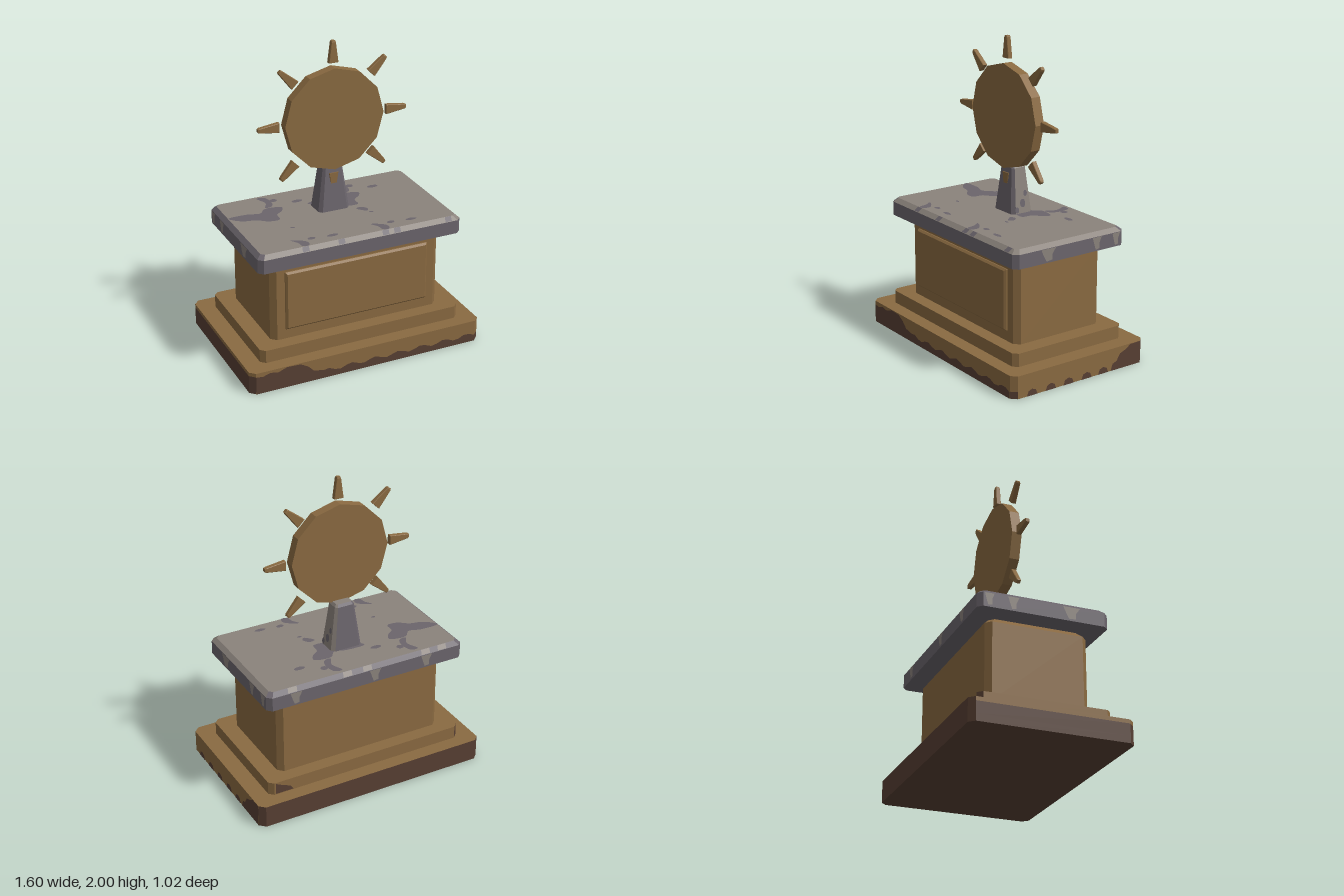
import * as THREE from 'three';

const mat = (name, color) => {
  const m = new THREE.MeshStandardMaterial({ color });
  m.name = name;
  return m;
};
const bronze = mat('bronze', 0x8a6a41);
const grime = mat('grime', 0x573f33);
const paleStone = mat('paleStone', 0x8b837c);
const darkStone = mat('darkStone', 0x6b656c);
const palette = [bronze, grime, paleStone, darkStone];

// Stack of chamfered rectangles: rings are [y, halfX, halfZ, chamfer].
// Sides: 0 +x, 2 back, 4 -x, 6 front, odd = chamfers. pick(level, side) chooses a material;
// level 'top' / 'bottom' for the caps.
function loft(name, rings, pick) {
  const outline = ([y, x, z, c]) => [
    [x, y, z - c], [x, y, c - z], [x - c, y, -z], [c - x, y, -z],
    [-x, y, c - z], [-x, y, z - c], [c - x, y, z], [x - c, y, z]];
  const loops = rings.map(outline);
  const pos = [];
  const geo = new THREE.BufferGeometry();
  const add = (m, ...pts) => {
    geo.addGroup(pos.length / 3, pts.length, palette.indexOf(m));
    pts.forEach((p) => pos.push(...p));
  };
  for (let l = 0; l < loops.length - 1; l++) {
    for (let i = 0; i < 8; i++) {
      const j = (i + 1) % 8, lo = loops[l], hi = loops[l + 1];
      add(pick(l, i), lo[i], lo[j], hi[j], lo[i], hi[j], hi[i]);
    }
  }
  const bot = loops[0], top = loops[loops.length - 1];
  for (let i = 1; i < 7; i++) {
    add(pick('top'), top[0], top[i], top[i + 1]);
    add(pick('bottom'), bot[0], bot[i + 1], bot[i]);
  }
  geo.setAttribute('position', new THREE.Float32BufferAttribute(pos, 3));
  geo.computeVertexNormals();
  const mesh = new THREE.Mesh(geo, palette);
  mesh.name = name;
  return mesh;
}

// Thin painted patch; smooth outlines are rounded with a closed spline.
function patch(name, m, pts, smooth = true) {
  let v = pts.map(([x, y]) => new THREE.Vector2(x, y));
  if (smooth) {
    const curve = new THREE.CatmullRomCurve3(v.map((p) => new THREE.Vector3(p.x, p.y, 0)), true);
    v = curve.getPoints(pts.length * 4).slice(0, -1).map((p) => new THREE.Vector2(p.x, p.y));
  }
  const mesh = new THREE.Mesh(new THREE.ShapeGeometry(new THREE.Shape(v)), m);
  mesh.name = name;
  return mesh;
}
const oval = (x, y, rx, ry) => [0, 1, 2, 3, 4, 5].map((i) =>
  [x + rx * Math.cos(i * Math.PI / 3), y + ry * Math.sin(i * Math.PI / 3)]);

export function createModel() {
  const model = new THREE.Group();
  const put = (mesh, x = 0, y = 0, z = 0, ry = 0) => {
    mesh.position.set(x, y, z);
    mesh.rotation.y = ry;
    model.add(mesh);
    return mesh;
  };
  const allBronze = () => bronze;

  // Plinth with grime at the back, left and underside
  put(loft('plinth', [[0, 0.8, 0.507, 0.035], [0.045, 0.8, 0.507, 0.035],
    [0.12, 0.8, 0.507, 0.035], [0.145, 0.8, 0.507, 0.035]], (l, s) => {
    if (l === 'top') return bronze;
    if (l === 'bottom' || (s >= 1 && s <= 3)) return grime;
    if (s === 4 || s === 5) return l < 2 ? grime : bronze;
    return s === 7 && l === 0 ? grime : bronze;
  }));
  const tide = [[-0.765, 0], [0.765, 0]];
  for (let x = 0.765; x > -0.34; x -= 0.04) tide.push([x, 0.05 + 0.013 * Math.sin(x * 38)]);
  tide.push([-0.38, 0.07], [-0.42, 0.11], [-0.47, 0.138], [-0.56, 0.142], [-0.62, 0.12],
    [-0.67, 0.13], [-0.72, 0.115], [-0.765, 0.12]);
  put(patch('frontGrime', grime, tide, false), 0, 0, 0.509);
  for (const z of [0.37, 0.23, 0.095, -0.045, -0.175]) {
    put(patch('sideGrime', grime, [[-0.04, 0], [0.04, 0], [0.027, 0.032], [0, 0.042],
      [-0.027, 0.032]], false), 0.802, 0, z, Math.PI / 2);
  }
  put(patch('sideGrime', grime, [[0.235, 0], [0.472, 0], [0.472, 0.145], [0.39, 0.143],
    [0.36, 0.12], [0.31, 0.1], [0.28, 0.055], [0.25, 0.045]], false), 0.802, 0, 0, Math.PI / 2);

  // Step and body
  put(loft('step', [[0.145, 0.69, 0.415, 0.03], [0.23, 0.69, 0.415, 0.03]],
    (l, s) => (s === 3 ? grime : bronze)));
  put(patch('stepGrime', grime, [[-0.65, 0.15], [-0.53, 0.15], [-0.55, 0.18], [-0.6, 0.2],
    [-0.65, 0.225]], false), 0, 0, -0.417, Math.PI);
  put(loft('body', [[0.23, 0.58, 0.325, 0.035], [0.725, 0.58, 0.325, 0.035],
    [0.76, 0.545, 0.29, 0.03]], allBronze));

  // Raised front panel
  const panel = put(loft('frontPanel', [[0, 0.49, 0.198, 0.002], [0.012, 0.49, 0.198, 0.002],
    [0.024, 0.478, 0.186, 0.002]], allBronze), 0, 0.496, 0.321);
  panel.rotation.x = Math.PI / 2;

  // Stone slab with a bevelled rim
  put(loft('slab', [[0.76, 0.69, 0.417, 0.03], [0.85, 0.69, 0.417, 0.03],
    [0.875, 0.662, 0.388, 0.022]], (l, s) => {
    if (l === 'top') return paleStone;
    return l === 1 && (s === 0 || s >= 6) ? paleStone : darkStone;
  }), 0, 0, -0.002);

  // Mottling on the slab top, repeating along x; outlines are [x, -z]
  const onTop = (pts, smooth) => {
    const p = put(patch('slabMottle', darkStone, pts, smooth), 0, 0.877, 0);
    p.rotation.x = -Math.PI / 2;
  };
  for (let k = 0; k < 3; k++) {
    const d = k * 0.543;
    const spots = [
      [[-0.66, 0.165], [-0.53, 0.17], [-0.45, 0.15], [-0.4, 0.2], [-0.29, 0.18], [-0.31, 0.13],
        [-0.36, 0.09], [-0.37, 0.02], [-0.44, 0.02], [-0.51, 0.07], [-0.59, 0.09], [-0.65, 0.14]],
      [[-0.39, 0.365], [-0.34, 0.36], [-0.32, 0.29], [-0.34, 0.22], [-0.39, 0.21], [-0.36, 0.28]],
      [[-0.43, -0.28], [-0.38, -0.3], [-0.34, -0.34], [-0.35, -0.385], [-0.39, -0.38],
        [-0.4, -0.33]],
      oval(-0.165, 0.225, 0.038, 0.018), oval(-0.3, 0.295, 0.024, 0.022),
      oval(-0.165, -0.32, 0.038, 0.015), oval(-0.3, -0.305, 0.026, 0.016),
      oval(-0.345, -0.12, 0.016, 0.009),
    ];
    for (const s of spots) {
      const moved = s.map(([x, y]) => [Math.min(x + d, 0.655), y]);
      if (Math.max(...s.map((p) => p[0])) + d < 0.72) onTop(moved, moved.every((p) => p[0] < 0.65));
    }
  }
  onTop([[0.13, -0.04], [0.17, -0.03], [0.2, -0.07], [0.18, -0.095], [0.15, -0.07]]);

  // Pale flecks on the slab sides: [centre, half width] along each side
  const fleck = (c, w) => [[c - w, 0.848], [c - w * 0.6, 0.8], [c - w * 0.3, 0.77],
    [c + w * 0.5, 0.775], [c + w * 0.5, 0.81], [c + w, 0.848]];
  for (const [c, w] of [[-0.17, 0.055], [0.2, 0.035], [0.35, 0.03]]) {
    put(patch('slabFleck', paleStone, fleck(c, w), false), 0.692, 0, 0, Math.PI / 2);
    put(patch('slabFleck', paleStone, fleck(-c, w), false), -0.692, 0, 0, -Math.PI / 2);
  }
  for (const c of [-0.5, 0.05, 0.42]) {
    put(patch('slabFleck', paleStone, fleck(c, 0.04), false), 0, 0, -0.421, Math.PI);
  }
  // Flecks on the front and back rim bevels
  const rim = (side, m, x, w) => {
    const p = patch('rimFleck', m, [[-w, -0.017], [w * 0.8, -0.017], [w, 0.017], [-w * 0.7, 0.017]],
      false);
    const holder = new THREE.Group();
    holder.name = 'rimFleckHolder';
    p.rotation.x = -0.85;
    holder.add(p);
    put(holder, x, 0.864, side * 0.4025 - 0.002, side > 0 ? 0 : Math.PI);
  };
  for (const x of [-0.38, -0.14, 0.16, 0.24, 0.6]) rim(1, darkStone, x, 0.025);
  for (const x of [-0.54, -0.42, 0, 0.14, 0.52]) rim(-1, paleStone, x, 0.035);

  // Tapered neck
  put(loft('neck', [[0.875, 0.107, 0.078, 0.022], [1.165, 0.067, 0.052, 0.015],
    [1.182, 0.055, 0.04, 0.01]], (l, s) => (l === 'top' || s === 0 || s === 1 ? paleStone : darkStone)),
  0, 0, -0.074);
  for (const [y, z, r] of [[0.94, -0.075, 0.02], [1.0, -0.1, 0.014], [0.9, -0.03, 0.014]]) {
    const spot = patch('neckMottle', darkStone, oval(0, 0, r, r * 1.4));
    spot.rotation.order = 'ZYX';
    spot.rotation.z = Math.atan2(0.04, 0.29);
    put(spot, 0.109 - (y - 0.875) * 0.138, y, z, Math.PI / 2);
  }

  // Sun: twelve-sided disc and eight tapered rays
  const sun = new THREE.Group();
  sun.name = 'sun';
  sun.position.set(0, 1.495, -0.028);
  const discGeo = new THREE.CylinderGeometry(0.335, 0.335, 0.065, 12).toNonIndexed();
  discGeo.rotateX(Math.PI / 2);
  discGeo.computeVertexNormals();
  const disc = new THREE.Mesh(discGeo, bronze);
  disc.name = 'sunDisc';
  sun.add(disc);
  for (let i = 0; i < 8; i++) {
    const ray = loft('sunRay', [[0.365, 0.032, 0.016, 0.003], [0.495, 0.015, 0.015, 0.003],
      [0.505, 0.011, 0.012, 0.003]], allBronze);
    ray.rotation.z = i * Math.PI / 4;
    sun.add(ray);
  }
  model.add(sun);
  return model;
}
